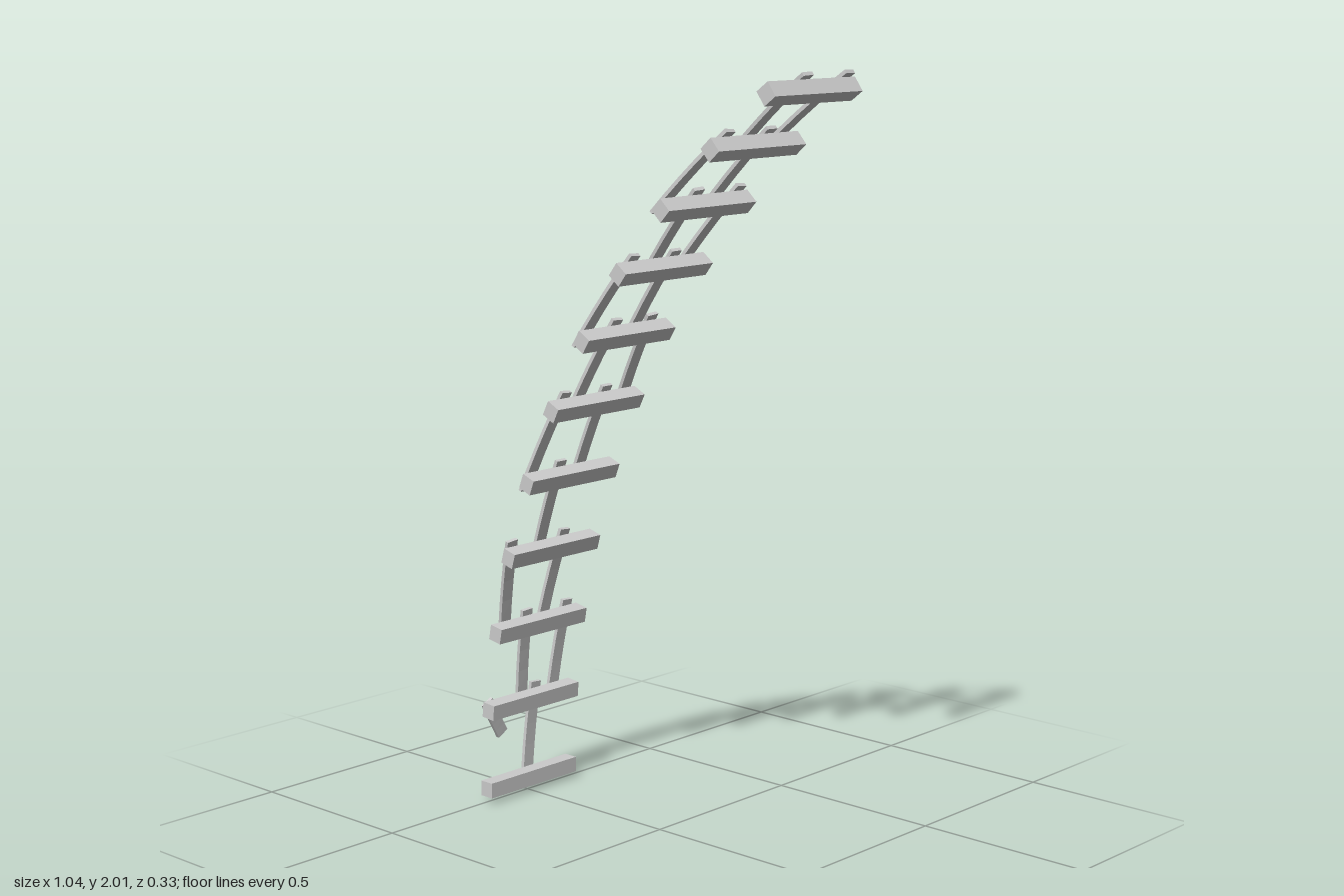
import * as THREE from 'three';

// The ladder bends along a circular arc in the x-y plane
const CX = 1.876, CY = 0.039, R = 2.368, STEP = 0.0944;
const RUNG = 0.042, THICK = 0.01, WIDTH = 0.036, OVERLAP = 0.0158 / STEP;

// Slats: [rung index below, z at the lower end, z at the upper end]
const SLATS = [
  [0, -0.013, -0.037],
  [1, 0.011, 0.027], [1, -0.103, -0.127],
  [2, 0.1, 0.135], [2, -0.035, -0.064],
  [3, 0.024, 0.024],
  [4, 0.133, 0.1], [4, -0.055, -0.052],
  [5, -0.136, -0.105], [5, 0.046, 0.027],
  [6, 0.133, 0.102], [6, -0.055, -0.051],
  [7, -0.105, -0.13], [7, 0.007, 0.029],
  [8, 0.133, 0.102], [8, -0.055, -0.052],
  [9, -0.105, -0.13], [9, 0.007, 0.029],
];

export function createModel() {
  const group = new THREE.Group();
  const material = new THREE.MeshStandardMaterial({ color: 0xcccccc, flatShading: true });

  const add = (name, geometry) => {
    const mesh = new THREE.Mesh(geometry, material);
    mesh.name = name;
    group.add(mesh);
    return mesh;
  };

  // A thin board laid flat between two points, then wrapped round the arc.
  // Positions along the arc are measured in rung spacings.
  const bentSlat = (name, a, za, b, zb) => {
    const r0 = R + RUNG / 2 + THICK / 2;
    const ds = (b - a) * STEP * r0, dz = zb - za;
    const g = new THREE.BoxGeometry(THICK, Math.hypot(ds, dz), WIDTH, 1, 5, 1);
    g.rotateX(Math.atan2(dz, ds));
    g.translate(0, ((a + b) / 2) * STEP * r0, (za + zb) / 2);
    const p = g.attributes.position;
    for (let i = 0; i < p.count; i++) {
      const angle = p.getY(i) / r0, r = r0 - p.getX(i);
      p.setXY(i, CX - r * Math.cos(angle), CY + r * Math.sin(angle));
    }
    g.computeVertexNormals();
    return add(name, g);
  };

  // Cross rungs on the inside of the curve
  const rungGeometry = new THREE.BoxGeometry(RUNG, RUNG, 0.326);
  for (let i = 0; i <= 10; i++) {
    const angle = i * STEP;
    const rung = add('rung' + i, rungGeometry);
    rung.position.set(CX - R * Math.cos(angle), CY + R * Math.sin(angle), 0);
    rung.rotation.z = -angle;
  }

  // Crooked slats joining neighbouring rungs on the outside
  SLATS.forEach(([i, za, zb], n) => bentSlat('slat' + n, i - OVERLAP, za, i + 1 + OVERLAP, zb));

  // Broken slat hanging from the second rung
  bentSlat('brokenSlat', 0.61, 0.082, 1.07, 0.144);

  return group;
}
